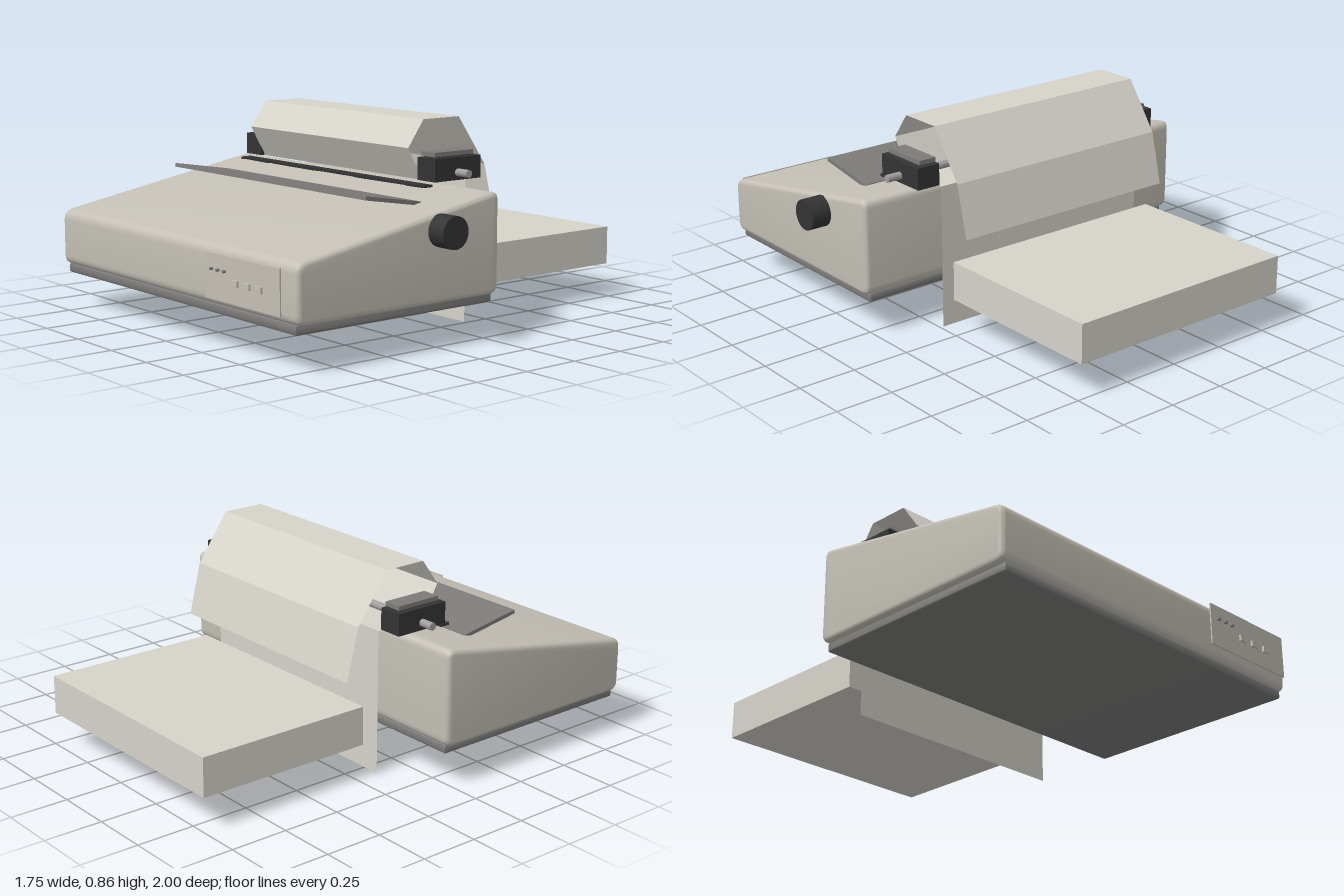
import * as THREE from 'three';
import { toCreasedNormals } from 'three/addons/utils/BufferGeometryUtils.js';

const material = (name, color, side = THREE.FrontSide) => {
  const m = new THREE.MeshStandardMaterial({ color, side });
  m.name = name;
  return m;
};

export function createModel() {
  const model = new THREE.Group();
  model.name = 'printer';
  const shell = material('warm grey shell', 0xc4c0b6);
  const paper = material('paper', 0xd6d3ca, THREE.DoubleSide);
  const grey = material('mid grey', 0x7c7b7a);
  const black = material('black plastic', 0x343434);
  const metal = material('metal', 0xa09f9c);

  const add = (name, geometry, mat, x = 0, y = 0, z = 0, parent = model) => {
    const mesh = new THREE.Mesh(geometry, mat);
    mesh.name = name;
    mesh.position.set(x, y, z);
    parent.add(mesh);
    return mesh;
  };
  // box given by its limits
  const box = (name, mat, x0, x1, y0, y1, z0, z1) =>
    add(name, new THREE.BoxGeometry(x1 - x0, y1 - y0, z1 - z0), mat,
      (x0 + x1) / 2, (y0 + y1) / 2, (z0 + z1) / 2);

  // side profile [z, y] with rounded corners, extruded along x with a bevel
  const profileSolid = (points, radius, x0, x1, bevel) => {
    const pts = points.map(([z, y]) => new THREE.Vector2(z, y));
    const shape = new THREE.Shape();
    pts.forEach((p, i) => {
      const prev = pts[(i + pts.length - 1) % pts.length];
      const next = pts[(i + 1) % pts.length];
      const a = prev.clone().sub(p).setLength(radius).add(p);
      const b = next.clone().sub(p).setLength(radius).add(p);
      if (i === 0) shape.moveTo(a.x, a.y);
      else shape.lineTo(a.x, a.y);
      shape.quadraticCurveTo(p.x, p.y, b.x, b.y);
    });
    shape.closePath();
    const g = new THREE.ExtrudeGeometry(shape, {
      depth: x1 - x0 - 2 * bevel, bevelEnabled: true, bevelThickness: bevel,
      bevelSize: bevel, bevelOffset: -bevel, bevelSegments: 4, curveSegments: 6,
    });
    g.rotateY(-Math.PI / 2);
    g.translate(x1 - bevel, 0, 0);
    return toCreasedNormals(g, 0.6);
  };

  // main housing with sloping top, and the base below it
  add('housing', profileSolid(
    [[-0.045, 0.18], [0.95, 0.18], [0.95, 0.412], [-0.045, 0.592]], 0.04, -0.875, 0.79, 0.02), shell);
  add('base', profileSolid(
    [[-0.03, 0.145], [0.94, 0.145], [0.94, 0.185], [-0.03, 0.185]], 0.012, -0.85, 0.765, 0.008), grey);

  // raised lid, tilted up at the front
  const lid = box('lid', grey, -0.7, 0.61, 0.557, 0.573, 0.205, 0.487);
  lid.rotation.x = -0.165;

  // tear bar with a row of teeth on its front edge
  const bar = new THREE.Shape();
  const teeth = 60, left = -0.66, right = 0.57, pitch = (right - left) / teeth;
  bar.moveTo(left, -0.11);
  bar.lineTo(left, -0.154);
  for (let i = 0; i < teeth; i++) {
    bar.lineTo(left + (i + 0.5) * pitch, -0.165);
    bar.lineTo(left + (i + 1) * pitch, -0.154);
  }
  bar.lineTo(right, -0.11);
  bar.closePath();
  const barGeometry = new THREE.ExtrudeGeometry(bar, { depth: 0.009, bevelEnabled: false });
  barGeometry.rotateX(-Math.PI / 2);
  add('tearBar', barGeometry, black, 0, 0.594, 0);

  // continuous paper: up the back, through the feed, over the top and down
  const path = [[-0.145, 0], [-0.145, 0.612], [0.09, 0.612], [0.165, 0.745],
    [0.085, 0.855], [-0.105, 0.855], [-0.25, 0.65], [-0.305, 0.43]];
  const sheet = new THREE.PlaneGeometry(1.06, 1, 1, path.length - 1);
  const pos = sheet.attributes.position;
  for (let i = 0; i < pos.count; i++) {
    const [z, y] = path[Math.floor(i / 2)];
    pos.setXYZ(i, pos.getX(i), y, z);
  }
  const sheetGeometry = sheet.toNonIndexed();
  sheetGeometry.computeVertexNormals();
  add('paperSheet', sheetGeometry, paper, -0.045);
  box('paperStack', paper, -0.575, 0.485, 0.145, 0.31, -1, -0.22);

  // tractor feed: one unit on each side of the paper, on a shared rod
  for (const side of [-1, 1]) {
    const tractor = new THREE.Group();
    tractor.name = side > 0 ? 'leftTractor' : 'rightTractor';
    tractor.position.set(-0.045, 0, 0);
    model.add(tractor);
    add('tractorBody', new THREE.BoxGeometry(0.105, 0.092, 0.245), black, side * 0.581, 0.66, -0.008, tractor);
    add('tractorHinge', new THREE.BoxGeometry(0.06, 0.008, 0.18), black, side * 0.575, 0.708, -0.008, tractor);
    add('tractorCap', new THREE.BoxGeometry(0.08, 0.018, 0.205), grey, side * 0.571, 0.719, -0.008, tractor);
  }
  const rod = new THREE.CylinderGeometry(0.016, 0.016, 1.395, 16);
  rod.rotateZ(Math.PI / 2);
  add('tractorRod', rod, metal, -0.043, 0.645, -0.008);

  // platen knob
  const knob = new THREE.CylinderGeometry(0.065, 0.065, 0.09, 28);
  knob.rotateZ(Math.PI / 2);
  add('platenKnob', knob, black, 0.83, 0.465, 0.262);

  // control panel with indicators and buttons
  box('controlPanel', shell, 0.265, 0.735, 0.217, 0.395, 0.982, 0.988);
  [0.31, 0.352, 0.394].forEach((x) => {
    const lamp = new THREE.CylinderGeometry(0.006, 0.006, 0.013, 10);
    lamp.rotateX(Math.PI / 2);
    add('indicator', lamp, grey, x, 0.335, 0.9935);
  });
  [0.462, 0.537, 0.612].forEach((x) =>
    box('button', shell, x - 0.019, x + 0.019, 0.286, 0.311, 0.987, 0.998));

  return model;
}
